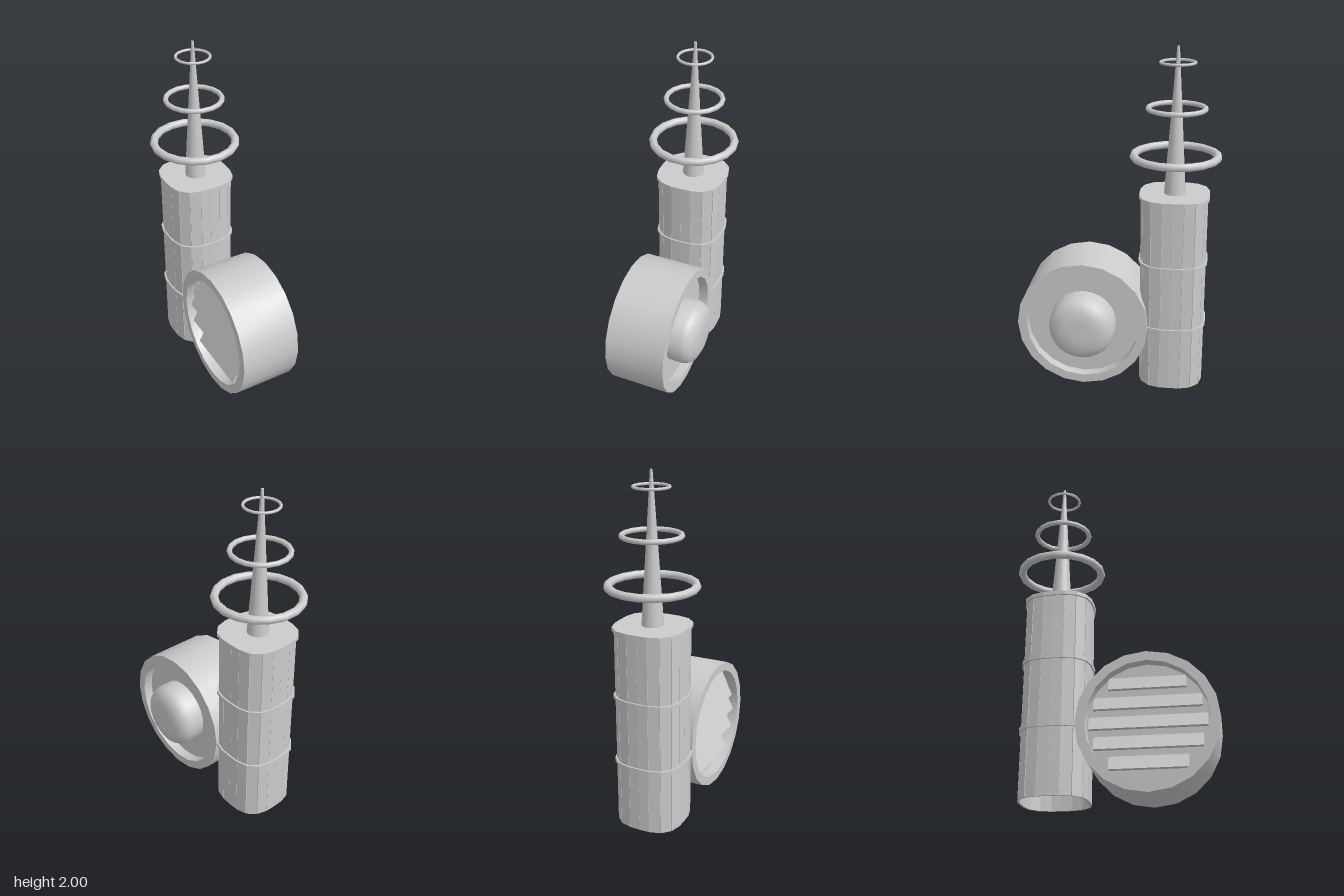
import * as THREE from 'three';
import { toCreasedNormals } from 'three/addons/utils/BufferGeometryUtils.js';

const material = new THREE.MeshStandardMaterial({ color: 0xcccccc });
const flat = new THREE.MeshStandardMaterial({ color: 0xcccccc, flatShading: true });

function add(parent, name, geometry, x = 0, y = 0, z = 0, mat = material) {
  const mesh = new THREE.Mesh(geometry, mat);
  mesh.name = name;
  mesh.position.set(x, y, z);
  parent.add(mesh);
  return mesh;
}

// Rounded-square outline with 20 corners
function squircle(size) {
  return Array.from({ length: 20 }, (_, i) => {
    const a = (i / 20) * Math.PI * 2, c = Math.cos(a), s = Math.sin(a);
    const r = size / Math.cbrt(Math.abs(c) ** 3 + Math.abs(s) ** 3);
    return new THREE.Vector2(c * r, s * r);
  });
}

// Horizontal plate or hoop of the tower outline
function slab(size, height, holeSize) {
  const shape = new THREE.Shape(squircle(size));
  if (holeSize) shape.holes.push(new THREE.Path(squircle(holeSize)));
  const g = new THREE.ExtrudeGeometry(shape, { depth: height, bevelEnabled: false });
  return g.rotateX(-Math.PI / 2);
}

// Turned shape around the x axis; points are [radius, x]
function turnedX(points, segments) {
  const g = new THREE.LatheGeometry(points.map(p => new THREE.Vector2(...p)), segments);
  return toCreasedNormals(g.rotateZ(-Math.PI / 2), 0.6);
}

function createTower() {
  const tower = new THREE.Group();
  tower.name = 'tower';

  // Open-bottomed wall of upright planks
  const pts = squircle(0.186);
  pts.forEach((p, i) => {
    const q = pts[(i + 1) % pts.length];
    const d = q.clone().sub(p);
    const plank = add(tower, 'plank', new THREE.BoxGeometry(d.length(), 1.155, 0.012),
      (p.x + q.x) / 2, 0.5775, (p.y + q.y) / 2, flat);
    plank.rotation.y = -Math.atan2(d.y, d.x);
  });

  // Hoops and top plate
  for (const y of [0.37, 0.76]) add(tower, 'hoop', slab(0.201, 0.022, 0.184), 0, y, 0, flat);
  add(tower, 'topPlate', slab(0.201, 0.022), 0, 1.15, 0, flat);

  // Spire with three rings floating around it
  add(tower, 'spire', toCreasedNormals(new THREE.CylinderGeometry(0.007, 0.062, 0.835, 20), 0.6), 0, 1.5825, 0);
  for (const [radius, tube, y] of [[0.238, 0.023, 1.39], [0.16, 0.0145, 1.66], [0.096, 0.008, 1.912]]) {
    add(tower, 'ring', new THREE.TorusGeometry(radius, tube, 8, 18).rotateX(Math.PI / 2), 0, y, 0);
  }
  tower.position.set(-0.0115, 0, -0.323);
  return tower;
}

function createDrum() {
  const drum = new THREE.Group();
  drum.name = 'drum';

  // Casing with a recessed face at each end
  add(drum, 'casing', turnedX([
    [0, -0.12], [0.335, -0.12], [0.335, -0.188], [0.387, -0.188],
    [0.387, 0.173], [0.335, 0.173], [0.335, 0.115], [0, 0.115]], 20));

  // Rounded hub on the left side
  add(drum, 'hub', turnedX([
    [0.195, 0.11], [0.195, 0.195], [0.188, 0.222], [0.17, 0.249],
    [0.118, 0.272], [0.06, 0.2745], [0, 0.275]], 24));

  // Tilted slats across the recess on the other side
  for (let i = -2; i <= 2; i++) {
    const y = i * 0.11;
    const length = 2 * Math.sqrt(0.32 ** 2 - (Math.abs(y) + 0.02) ** 2);
    const slat = add(drum, 'slat', new THREE.BoxGeometry(0.014, 0.085, length), -0.138, y, 0, flat);
    slat.rotation.z = -0.45;
  }
  drum.position.set(0, 0.39, 0.195);
  return drum;
}

export function createModel() {
  const model = new THREE.Group();
  model.name = 'drumAndSpireTower';
  model.add(createTower(), createDrum());
  return model;
}
